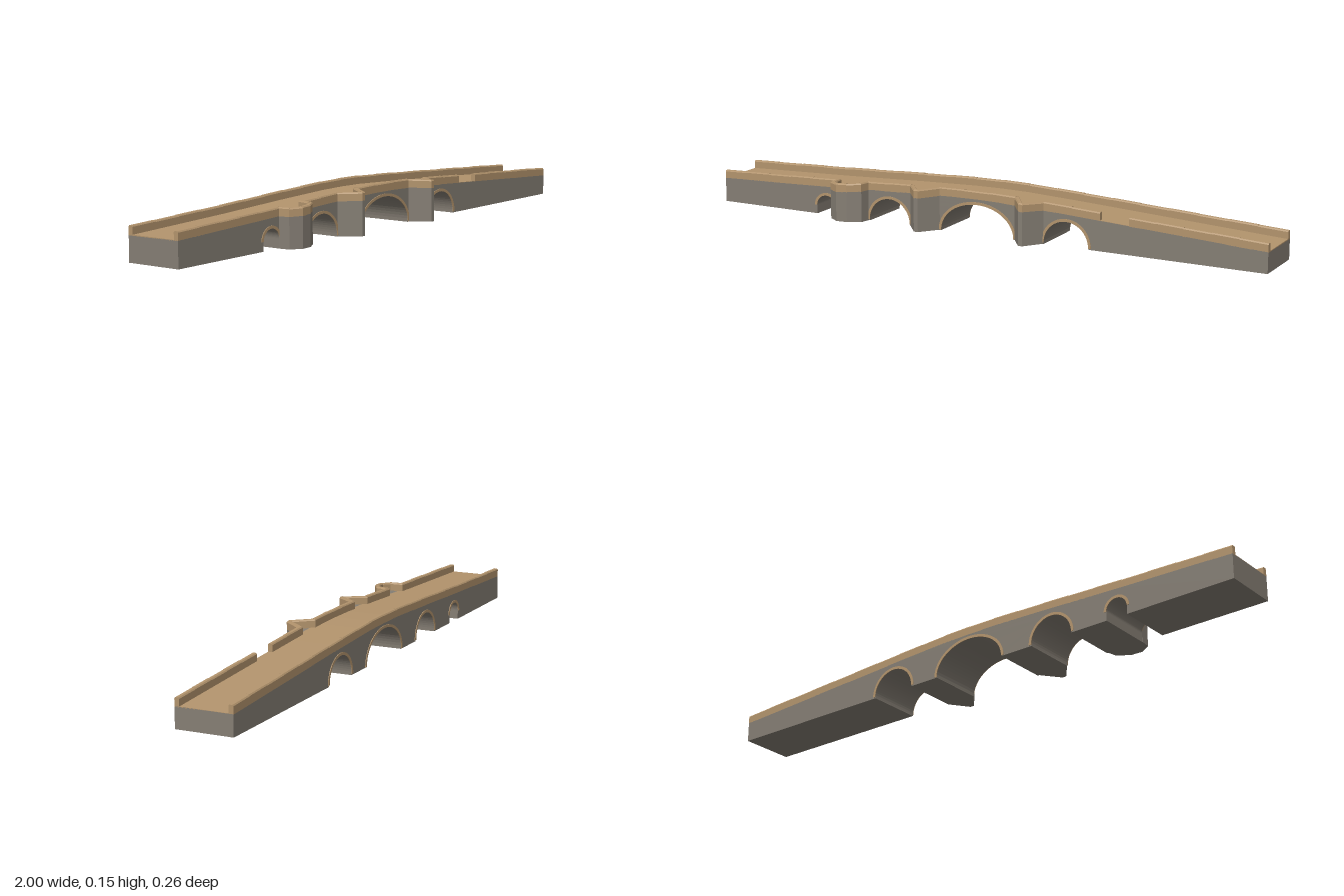
import * as THREE from 'three';
import { mergeGeometries } from 'three/addons/utils/BufferGeometryUtils.js';

const FRONT = 0.066, BACK = -0.126, WALL = 0.016, HEIGHT = 0.027;

// Road profile (x, y), gently humped
const ROAD = [[-1, 0.083], [-0.6, 0.097], [-0.3, 0.11], [-0.1, 0.117], [0, 0.118],
  [0.1, 0.1165], [0.3, 0.107], [1, 0.068]];
function roadY(x) {
  for (let i = 1; i < ROAD.length; i++) {
    const [x0, y0] = ROAD[i - 1], [x1, y1] = ROAD[i];
    if (x <= x1) return y0 + (y1 - y0) * (x - x0) / (x1 - x0);
  }
  return ROAD[ROAD.length - 1][1];
}

// Arches: centre x, half width, rise, springing height
const ARCHES = [
  { x: -0.582, rx: 0.038, ry: 0.036, spring: 0.03 },
  { x: -0.332, rx: 0.078, ry: 0.078, spring: 0.004 },
  { x: 0, rx: 0.134, ry: 0.098, spring: 0.002 },
  { x: 0.322, rx: 0.079, ry: 0.078, spring: 0.004 },
];

// Pier outlines in plan (x, z)
const PIERS = {
  roundedPier: [[-0.545, FRONT], [-0.541, 0.103], [-0.505, 0.127], [-0.465, 0.125], [-0.422, 0.1], [-0.415, FRONT]],
  leftCutwater: [[-0.252, FRONT], [-0.203, 0.128], [-0.188, 0.128], [-0.14, FRONT]],
  rightCutwater: [[0.138, FRONT], [0.182, 0.128], [0.197, 0.128], [0.242, FRONT]],
};

// Parapet blocks along a plan path; the path is the outer edge
function parapetGeometry(path) {
  const pts = [path[0]];
  for (let i = 1; i < path.length; i++) {
    const [ax, az] = path[i - 1], [bx, bz] = path[i];
    const n = Math.max(1, Math.round(Math.hypot(bx - ax, bz - az) / 0.1));
    for (let k = 1; k <= n; k++) pts.push([ax + (bx - ax) * k / n, az + (bz - az) * k / n]);
  }
  const inward = (a, b) => {
    const l = Math.hypot(b[0] - a[0], b[1] - a[1]);
    return [(b[1] - a[1]) / l, -(b[0] - a[0]) / l];
  };
  // Mitred inward direction at each point
  const mitres = pts.map((p, i) => {
    const n0 = inward(pts[Math.max(i - 1, 0)], pts[Math.max(i, 1)]);
    const last = pts.length - 1;
    const n1 = inward(pts[Math.min(i, last - 1)], pts[Math.min(i + 1, last)]);
    const s = 1 / (1 + n0[0] * n1[0] + n0[1] * n1[1]);
    return [(n0[0] + n1[0]) * s, (n0[1] + n1[1]) * s];
  });
  const position = [];
  for (let i = 0; i + 1 < pts.length; i++) {
    const h = HEIGHT + (i % 2 ? 0.001 : 0);
    const section = [[0, -0.001], [0, h - 0.004], [0.003, h], [WALL - 0.003, h], [WALL, h - 0.004], [WALL, -0.001]];
    const ring = k => section.map(([u, y]) => [
      pts[k][0] + mitres[k][0] * u, roadY(pts[k][0]) + y, pts[k][1] + mitres[k][1] * u]);
    const a = ring(i), b = ring(i + 1);
    for (let j = 0; j < 6; j++) {
      const k = (j + 1) % 6;
      position.push(...a[j], ...b[j], ...b[k], ...a[j], ...b[k], ...a[k]);
    }
    for (let j = 1; j < 5; j++) position.push(...a[0], ...a[j], ...a[j + 1], ...b[0], ...b[j + 1], ...b[j]);
  }
  const g = new THREE.BufferGeometry();
  g.setAttribute('position', new THREE.Float32BufferAttribute(position, 3));
  g.computeVertexNormals();
  return g;
}

function extrude(shape, z0, z1) {
  const g = new THREE.ExtrudeGeometry(shape, { depth: z1 - z0, bevelEnabled: false, curveSegments: 16 });
  return g.translate(0, 0, z0);
}

export function createModel() {
  const stone = new THREE.MeshStandardMaterial({ color: 0x857e74 });
  stone.name = 'grey stone';
  const sand = new THREE.MeshStandardMaterial({ color: 0xb3946d });
  sand.name = 'sandstone';
  const bridge = new THREE.Group();
  bridge.name = 'bridge';
  const add = (name, geometry, material) => {
    const mesh = new THREE.Mesh(geometry, material);
    mesh.name = name;
    bridge.add(mesh);
  };

  // Body with the arches cut through
  const body = new THREE.Shape();
  body.moveTo(-1, 0);
  for (const { x, rx, ry, spring } of ARCHES) {
    body.lineTo(x - rx, 0);
    body.lineTo(x - rx, spring);
    body.absellipse(x, spring, rx, ry, Math.PI, 0, true);
    body.lineTo(x + rx, 0);
  }
  body.lineTo(1, 0);
  for (const [x, y] of [...ROAD].reverse()) body.lineTo(x, y);
  add('body', extrude(body, BACK, FRONT), stone);

  // Road surface
  const road = new THREE.Shape();
  ROAD.forEach(([x, y], i) => (i ? road.lineTo(x, y - 0.002) : road.moveTo(x, y - 0.002)));
  for (const [x, y] of [...ROAD].reverse()) road.lineTo(x, y + 0.001);
  add('road', extrude(road, BACK + 0.002, FRONT - 0.001), sand);

  // Thin stone rings round the arches, on both faces
  const rings = [];
  for (const { x, rx, ry, spring } of ARCHES) {
    const w = 0.009;
    const ring = new THREE.Shape();
    ring.moveTo(x - rx - w, spring);
    ring.absellipse(x, spring, rx + w, ry + w, Math.PI, 0, true);
    ring.lineTo(x + rx, spring);
    ring.absellipse(x, spring, rx, ry, 0, Math.PI, false);
    rings.push(extrude(ring, FRONT, FRONT + 0.002), extrude(ring, BACK - 0.002, BACK));
  }
  add('archRings', mergeGeometries(rings), sand);

  // Piers rising to the road, each forming a refuge
  for (const [name, outline] of Object.entries(PIERS)) {
    const plan = new THREE.Shape(outline.map(([x, z]) => new THREE.Vector2(x, -z)));
    const g = new THREE.ExtrudeGeometry(plan, { depth: 1, bevelEnabled: false }).rotateX(-Math.PI / 2);
    const p = g.attributes.position;
    for (let i = 0; i < p.count; i++) p.setY(i, p.getY(i) * roadY(p.getX(i)));
    g.computeVertexNormals();
    add(name, g, stone);
  }

  // Parapets: the front one follows the piers and has a gap
  add('frontParapet', parapetGeometry([[-1, FRONT], ...PIERS.roundedPier, ...PIERS.leftCutwater,
    ...PIERS.rightCutwater, [0.44, FRONT]]), sand);
  add('frontParapetEnd', parapetGeometry([[0.54, FRONT], [1, FRONT]]), sand);
  add('backParapet', parapetGeometry([[1, BACK], [-1, BACK]]), sand);
  return bridge;
}
